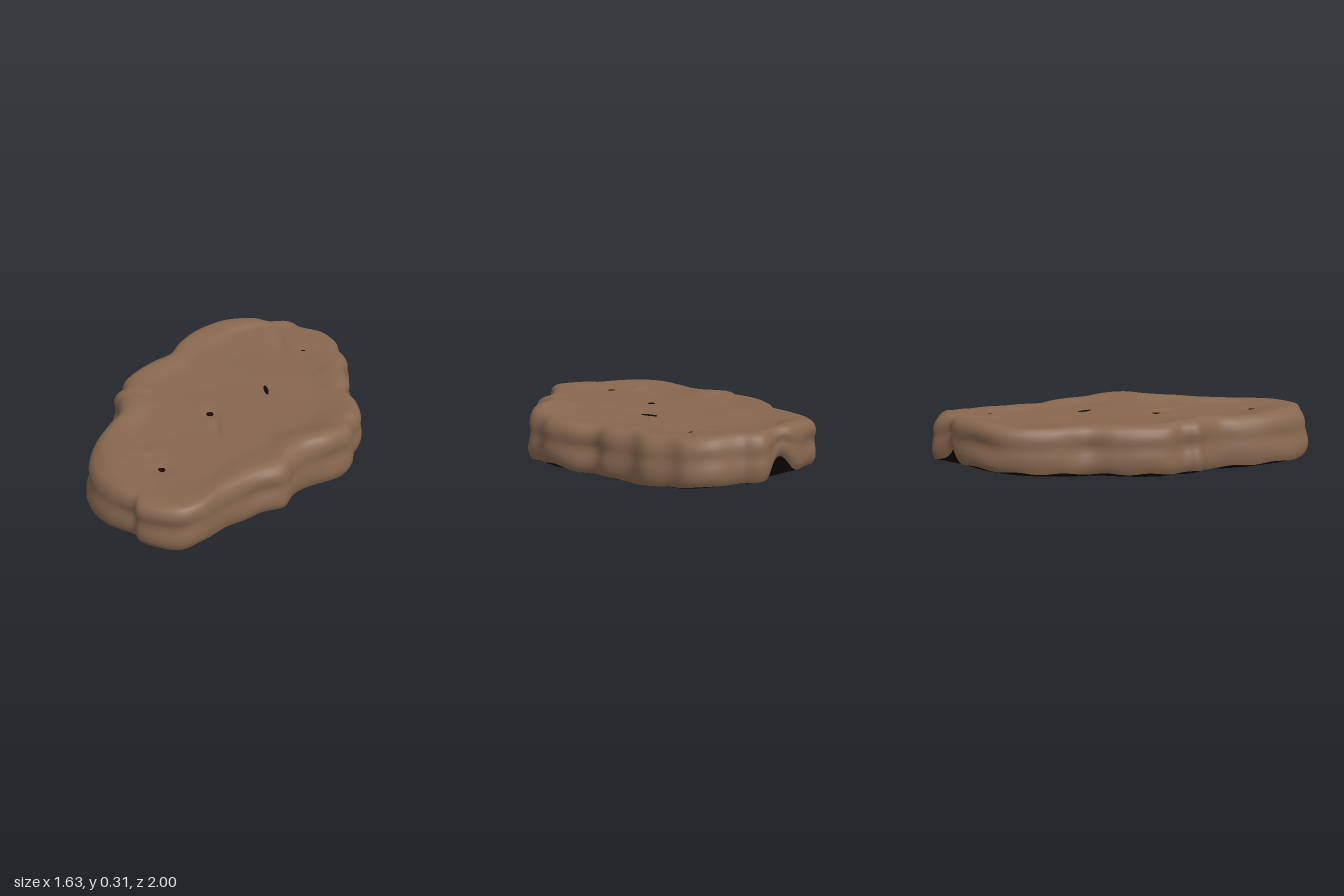
import * as THREE from 'three';

const N = 260;

// Plan outline of the slab (x, z), starting at the back and running round by +x
const outline = [
  [0.15, -1], [0.32, -0.985], [0.37, -0.95], [0.41, -0.935], [0.53, -0.95], [0.57, -0.92], [0.6, -0.87],
  [0.74, -0.78], [0.8, -0.67], [0.795, -0.58], [0.815, -0.45], [0.77, -0.33], [0.76, -0.18], [0.715, -0.08],
  [0.735, 0.06], [0.71, 0.23], [0.64, 0.33], [0.61, 0.42], [0.48, 0.52], [0.34, 0.565], [0.25, 0.64],
  [0.18, 0.73], [0.02, 0.775], [-0.15, 0.87], [-0.27, 0.965], [-0.37, 1], [-0.5, 0.965], [-0.58, 0.91],
  [-0.59, 0.86], [-0.64, 0.82], [-0.72, 0.75], [-0.79, 0.63], [-0.815, 0.48], [-0.78, 0.3], [-0.71, 0.14],
  [-0.635, 0.03], [-0.625, -0.09], [-0.645, -0.17], [-0.595, -0.23], [-0.58, -0.34], [-0.49, -0.47],
  [-0.4, -0.55], [-0.28, -0.64], [-0.21, -0.77], [-0.1, -0.9], [0.02, -0.975],
];
const rim = new THREE.CatmullRomCurve3(outline.map(([x, z]) => new THREE.Vector3(x, 0, z)), true)
  .getSpacedPoints(N).slice(0, N);

const smooth = THREE.MathUtils.smoothstep;
const bump = (x, z, cx, cz, rx, rz) => Math.exp(-(((x - cx) / rx) ** 2) - ((z - cz) / rz) ** 2);

// Relief of the upper face, which is slightly dished inside a raised lip
const lip = 0.017;
function topHeight(x, z) {
  let y = 0.269 + 0.003 * Math.sin(7 * x + 3 * z) + 0.002 * Math.sin(11 * z - 5 * x);
  y += 0.034 * bump(x, z, 0.42, 0.52, 0.28, 0.2) + 0.016 * bump(x, z, -0.66, 0.55, 0.14, 0.25);
  y -= 0.01 * bump(x, z, 0.3, -0.35, 0.35, 0.4) + 0.012 * bump(x, z, 0.72, -0.06, 0.15, 0.15);
  y += 0.014 * bump(x, z, -0.58, -0.05, 0.13, 0.15) + 0.02 * bump(x, z, 0.25, -0.97, 0.2, 0.08);
  // curved step near the back edge
  y += 0.014 * smooth(Math.hypot(x - 0.36, z + 0.25), 0.6, 0.65) * smooth(-z, 0.6, 0.85) * smooth(x, -0.05, 0.15);
  // small dents
  y -= 0.008 * bump(x, z, -0.12, 0.11, 0.05, 0.05) + 0.012 * bump(x, z, -0.1, 0.24, 0.025, 0.09);
  y -= 0.01 * bump(x, z, -0.43, 0.61, 0.05, 0.05) + 0.008 * bump(x, z, 0.42, -0.62, 0.03, 0.12);
  y += 0.008 * bump(x, z, -0.5, 0.46, 0.06, 0.04);
  return y;
}

// Underside: slightly convex, lifting towards the back
const floorHeight = (x, z) => 0.06 * Math.max(0, -z - 0.2) ** 1.2 + 0.012 * x * x + 0.014 * smooth(z, 0.4, 1);

// Level where the pale stone meets the dark underside
function seamHeight(x, z) {
  return floorHeight(x, z) + 0.03 + 0.006 * Math.sin(9 * x + 4 * z + 3.2) + 0.004 * Math.sin(23 * x - 17 * z)
    + 0.025 * bump(x, z, -0.24, 0.93, 0.14, 0.14) + 0.025 * bump(x, z, 0.7, 0.2, 0.12, 0.12)
    - 0.015 * bump(x, z, 0.8, -0.5, 0.1, 0.2) + 0.09 * bump(x, z, 0.37, -0.95, 0.06, 0.07);
}

// Skin a list of rings; each ring maps a rim point to [radius, height]
function loft(rings) {
  const pos = [], index = [];
  rings.forEach((ring, j) => rim.forEach((p, i) => {
    const r = Math.hypot(p.x, p.z);
    const [rr, y] = ring(p, r);
    const x = p.x * rr / r, z = p.z * rr / r;
    pos.push(x, typeof y === 'function' ? y(x, z) : y, z);
    if (j) {
      const k = (i + 1) % N, a = (j - 1) * N + i, b = (j - 1) * N + k, c = j * N + i, d = j * N + k;
      index.push(a, c, b, b, c, d);
    }
  }));
  const g = new THREE.BufferGeometry();
  g.setAttribute('position', new THREE.Float32BufferAttribute(pos, 3));
  g.setIndex(index);
  g.computeVertexNormals();
  return g;
}

// The wall leans in towards the top, most on the two long sides and least at the ends
const lean = (p) => 0.018 * (1 - smooth(Math.abs(p.z), 0.7, 0.95)) + 0.03 * smooth(-p.x, 0.6, 0.78)
  + 0.025 * smooth(p.x - p.z * 0.3, 0.7, 0.9);

export function createModel() {
  const group = new THREE.Group();
  group.name = 'stoneSlab';
  const stone = new THREE.MeshStandardMaterial({ color: 0x87674f });
  stone.name = 'brown stone';
  const dark = new THREE.MeshStandardMaterial({ color: 0x160706 });
  dark.name = 'dark underside';
  const add = (name, geometry, material) => {
    const m = new THREE.Mesh(geometry, material);
    m.name = name;
    group.add(m);
    return m;
  };

  // Side wall: [share of height, inset], with a weathered groove halfway up
  const wall = [[0, 0.018], [0.07, 0.008], [0.16, 0.001], [0.28, 0], [0.4, 0.003], [0.5, 0.007], [0.6, 0.006],
    [0.7, 0.002], [0.8, 0.005], [0.88, 0.012], [0.94, 0.024], [0.98, 0.042]];
  const rings = wall.map(([f, inset]) => (p, r) => {
    const s = seamHeight(p.x, p.z), h = topHeight(p.x, p.z) + lip;
    const wear = f * (1 - f) * 0.05 * Math.max(0, Math.sin(10 * p.x - 7 * p.z) * Math.sin(f * 6 - 1.4));
    return [r - inset - wear - lean(p) * f * f, s + (h - s) * f];
  });
  // Upper face, closing in on the middle
  const steps = 44;
  for (let j = steps; j >= 0; j--) {
    const k = j / steps, rise = lip * smooth(k, 0.72, 0.98);
    rings.push((p, r) => [(r - 0.065 - lean(p)) * k, (x, z) => topHeight(x, z) + rise]);
  }
  add('slabBody', loft(rings), stone);

  // Underside, from the middle out to the seam
  const under = [0, 0.2, 0.4, 0.6, 0.8, 1].map((k) => (p, r) => [(r - 0.14) * k, floorHeight]);
  under.push((p, r) => [r - 0.075, 0.6 * floorHeight(p.x, p.z) + 0.4 * seamHeight(p.x, p.z)]);
  under.push((p, r) => [r - 0.018, seamHeight(p.x, p.z)]);
  add('underside', loft(under), dark);

  // Small pits in the upper face: x, z, half width, half length
  [[-0.12, 0.11, 0.02, 0.02], [-0.43, 0.61, 0.02, 0.02], [0.54, -0.54, 0.014, 0.007], [0.23, -0.1, 0.012, 0.05]]
    .forEach(([x, z, w, l]) => {
      const pit = add('pit', new THREE.CylinderGeometry(1, 1, 0.008, 12), dark);
      pit.scale.set(w, 1, l);
      pit.position.set(x, topHeight(x, z), z);
    });
  return group;
}
